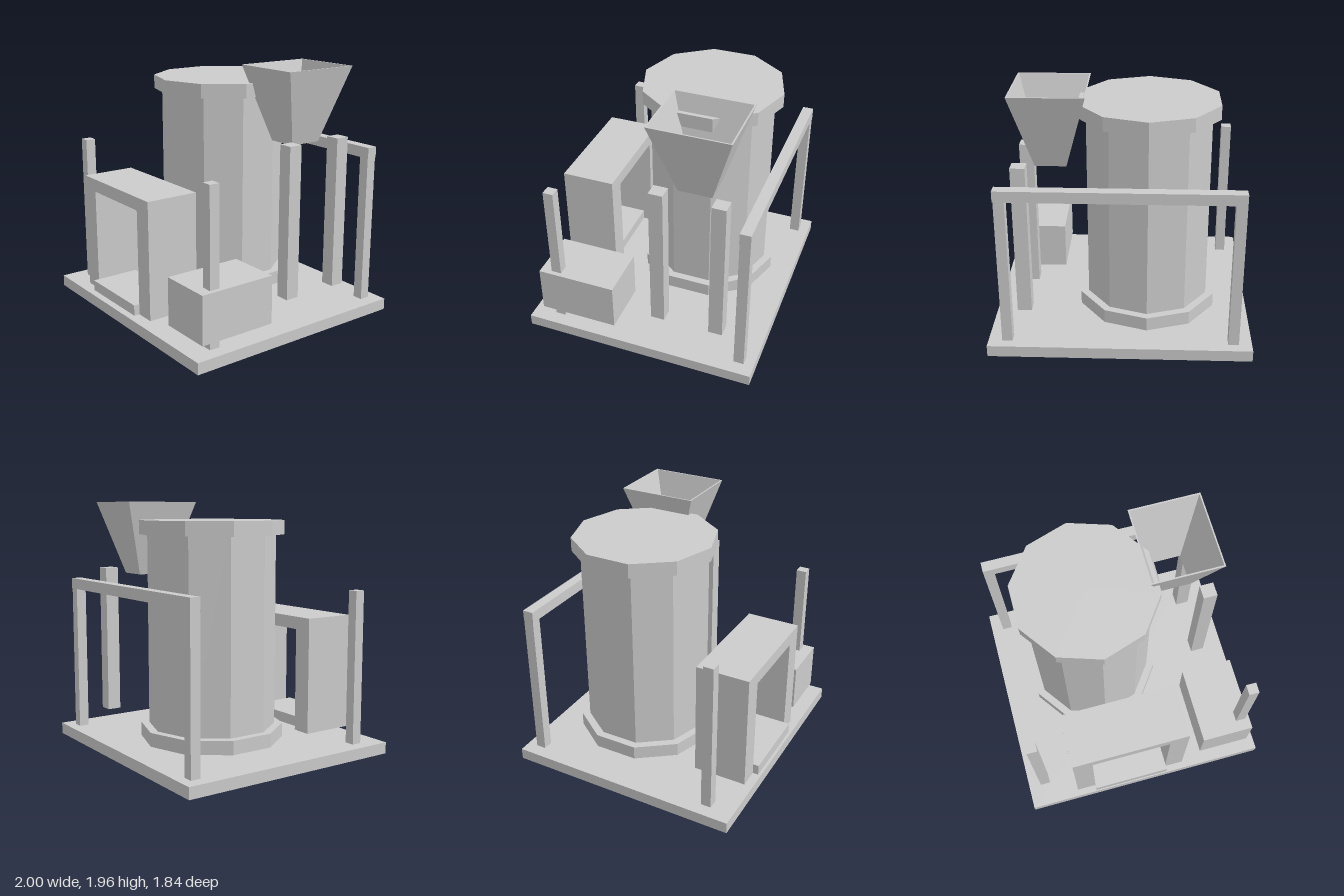
import * as THREE from 'three';

const material = new THREE.MeshStandardMaterial({ color: 0xcccccc, flatShading: true });
const openMaterial = new THREE.MeshStandardMaterial({ color: 0xcccccc, flatShading: true, side: THREE.DoubleSide });

export function createModel() {
  const model = new THREE.Group();

  const add = (name, geometry, mat = material) => {
    const mesh = new THREE.Mesh(geometry, mat);
    mesh.name = name;
    model.add(mesh);
    return mesh;
  };

  // Box given by its extents along each axis
  const box = (name, [x0, x1], [y0, y1], [z0, z1]) =>
    add(name, new THREE.BoxGeometry(x1 - x0, y1 - y0, z1 - z0))
      .position.set((x0 + x1) / 2, (y0 + y1) / 2, (z0 + z1) / 2);

  // Ten-sided drum section, all sharing one axis
  const drum = (name, radius, y0, y1) =>
    add(name, new THREE.CylinderGeometry(radius, radius, y1 - y0, 10))
      .position.set(-0.2, (y0 + y1) / 2, -0.19);

  // Base plate
  box('basePlate', [-1, 1], [0, 0.09], [-0.92, 0.92]);

  // Main vessel with its two flanges
  drum('vesselBody', 0.49, 0.14, 1.8);
  drum('bottomFlange', 0.553, 0.14, 0.247);
  drum('topFlange', 0.553, 1.715, 1.823);

  // Front portal: an arch extruded front to back
  const arch = new THREE.Shape([
    [-0.6, 0.14], [-0.445, 0.14], [-0.445, 0.96], [0.177, 0.96],
    [0.177, 0.14], [0.33, 0.14], [0.33, 1.06], [-0.6, 1.06],
  ].map(([x, y]) => new THREE.Vector2(x, y)).reverse());
  add('portal', new THREE.ExtrudeGeometry(arch, { depth: 0.42, bevelEnabled: false }))
    .position.z = 0.455;
  box('portalTray', [-0.445, 0.177], [0.14, 0.223], [0.53, 0.92]);

  // Corner posts and rear rail
  for (const x of [-0.86, 0.855]) {
    for (const z of [-0.8, 0.7]) {
      box('cornerPost', [x - 0.04, x + 0.04], [0.09, 1.29], [z - 0.04, z + 0.04]);
    }
  }
  box('rearRail', [-0.9, 0.9], [1.25, 1.335], [-0.842, -0.758]);

  // Control box
  box('controlBox', [0.507, 0.93], [0.16, 0.535], [0.21, 0.83]);

  // Hopper supports
  for (const z of [-0.105, -0.577]) {
    box('hopperSupport', [0.69, 0.8], [0.23, 1.422], [z - 0.055, z + 0.055]);
  }

  // Open hopper: thin four-sided funnel
  const r = Math.SQRT2;
  const wall = [[0.424, 0], [1, 0.58], [0.96, 0.58], [0.39, 0], [0.424, 0]]
    .map(([s, y]) => new THREE.Vector2(s * r, y));
  const funnel = new THREE.LatheGeometry(wall, 4);
  funnel.rotateY(Math.PI / 4);
  funnel.scale(0.276, 1, 0.308);
  add('hopper', funnel, openMaterial).position.set(0.521, 1.38, -0.345);

  return model;
}
